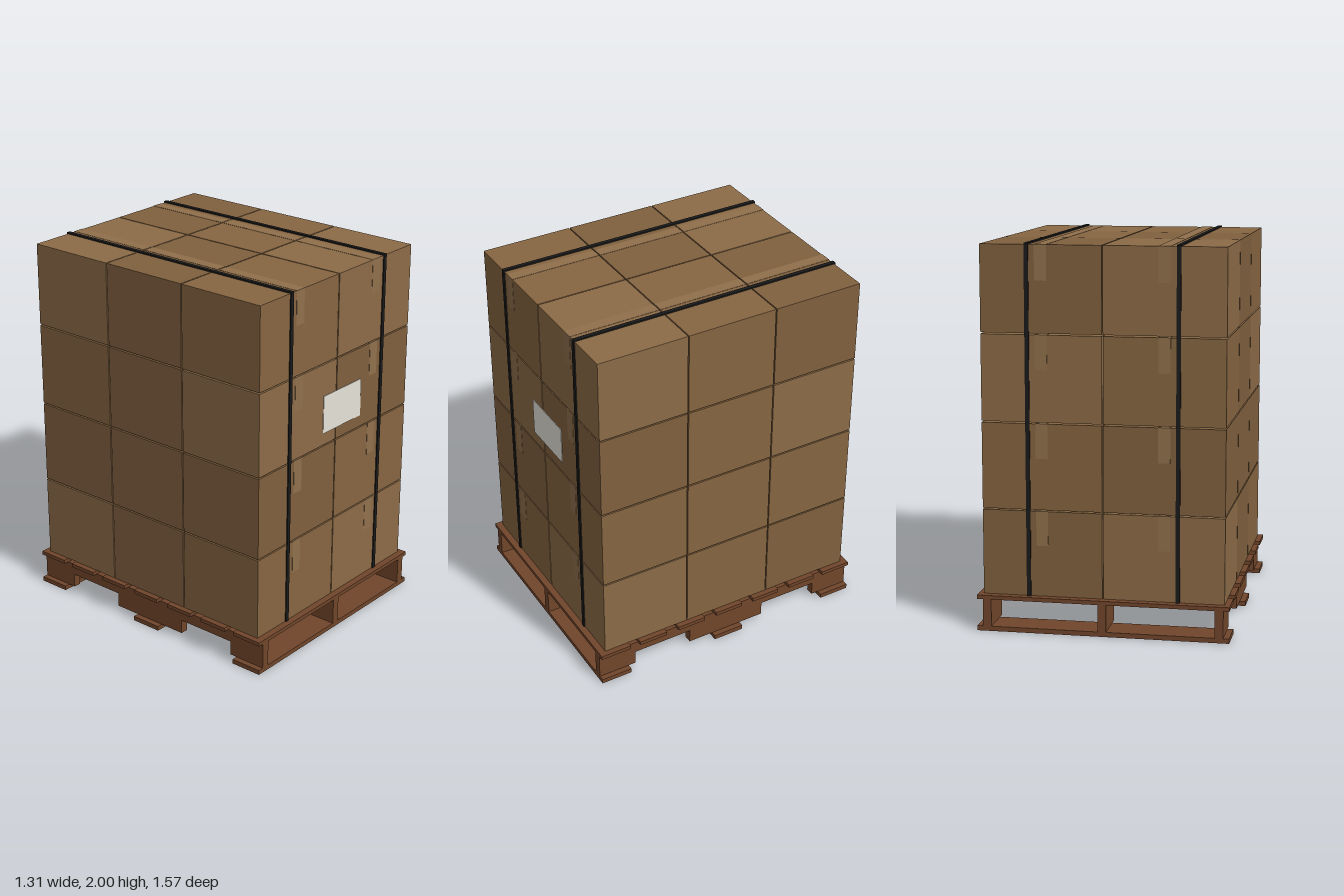
import * as THREE from 'three';

const paint = (color) => new THREE.MeshStandardMaterial({ color });

export function createModel() {
  const model = new THREE.Group();
  const wood = paint(0x71462b);
  const cardboard = [paint(0x8c6b47), paint(0x866541), paint(0x80603e)];
  const tapeMat = paint(0x90704c);
  const strapMat = paint(0x1a1a1a);
  const paper = paint(0xe6e2d8);

  // Box given by its min and max corners
  function box(parent, name, mat, x0, x1, y0, y1, z0, z1) {
    const mesh = new THREE.Mesh(new THREE.BoxGeometry(x1 - x0, y1 - y0, z1 - z0), mat);
    mesh.position.set((x0 + x1) / 2, (y0 + y1) / 2, (z0 + z1) / 2);
    mesh.name = name;
    parent.add(mesh);
    return mesh;
  }

  // Pallet
  const pallet = new THREE.Group();
  pallet.name = 'pallet';
  model.add(pallet);
  const halfW = 0.655, halfD = 0.785;

  // Top deck: wide end boards, narrower boards between
  for (let i = -3; i <= 3; i++) {
    const lead = Math.abs(i) === 3;
    const z = lead ? Math.sign(i) * 0.6975 : i * 0.2355;
    const h = lead ? 0.0875 : 0.0815;
    box(pallet, 'topBoard', wood, -halfW, halfW, 0.167, 0.188, z - h, z + h);
  }
  // Bottom boards
  for (const z of [-0.6975, 0, 0.6975])
    box(pallet, 'bottomBoard', wood, -halfW, halfW, 0, 0.025, z - 0.0875, z + 0.0875);

  // Notched stringers, profile drawn in z and y
  const profile = new THREE.Shape([
    [-halfD, 0.025], [-0.568, 0.025], [-0.568, 0.102], [-0.23, 0.102], [-0.23, 0.025],
    [0.23, 0.025], [0.23, 0.102], [0.568, 0.102], [0.568, 0.025], [halfD, 0.025],
    [halfD, 0.167], [-halfD, 0.167],
  ].map(([z, y]) => new THREE.Vector2(z, y)));
  const stringerGeo = new THREE.ExtrudeGeometry(profile, { depth: 0.044, bevelEnabled: false });
  stringerGeo.translate(0, 0, -0.022).rotateY(-Math.PI / 2);
  for (const x of [-0.602, 0, 0.602]) {
    const stringer = new THREE.Mesh(stringerGeo, wood);
    stringer.name = 'stringer';
    stringer.position.x = x;
    pallet.add(stringer);
  }

  // Carton stack: 2 wide, 3 deep, 4 high, with thin gaps
  const base = 0.19, pitchX = 0.629, pitchY = 0.4525, pitchZ = 0.502;
  const cw = 0.623, ch = 0.445, cd = 0.496, t = 0.0015;
  const cartons = new THREE.Group();
  cartons.name = 'cartons';
  model.add(cartons);
  for (let layer = 0; layer < 4; layer++)
    for (let col = 0; col < 2; col++)
      for (let row = 0; row < 3; row++) {
        const x = (col - 0.5) * pitchX, z = (row - 1) * pitchZ;
        const y0 = base + layer * pitchY, y1 = y0 + ch;
        const tone = cardboard[(layer * 2 + col * 2 + row * 2 + layer * row) % 3];
        box(cartons, 'carton', tone, x - cw / 2, x + cw / 2, y0, y1, z - cd / 2, z + cd / 2);
        // Sealing tape over the lid, folded down on the outer faces
        box(cartons, 'lidTape', tapeMat, x - 0.031, x + 0.031, y1, y1 + t, z - cd / 2, z + cd / 2);
        if (row !== 1) {
          const s = row - 1, a = z + s * cd / 2, b = a + s * t;
          box(cartons, 'tapeEnd', tapeMat, x - 0.031, x + 0.031, y1 - 0.18, y1 + t,
            Math.min(a, b), Math.max(a, b));
        }
      }

  // Straps over the stack
  const top = base + 3 * pitchY + ch, face = pitchZ + cd / 2, st = 0.006;
  for (const side of [-1, 1]) {
    const strap = new THREE.Group();
    strap.name = 'strap';
    model.add(strap);
    const x0 = side * 0.386 - 0.011, x1 = x0 + 0.022;
    box(strap, 'strapTop', strapMat, x0, x1, top, 2, -face - st, face + st);
    box(strap, 'strapFront', strapMat, x0, x1, 0.188, top, face, face + st);
    box(strap, 'strapBack', strapMat, x0, x1, 0.188, top, -face - st, -face);
  }

  // Shipping label
  box(model, 'label', paper, -0.11, 0.21, 1.16, 1.367, face + t, face + 0.004);

  return model;
}
